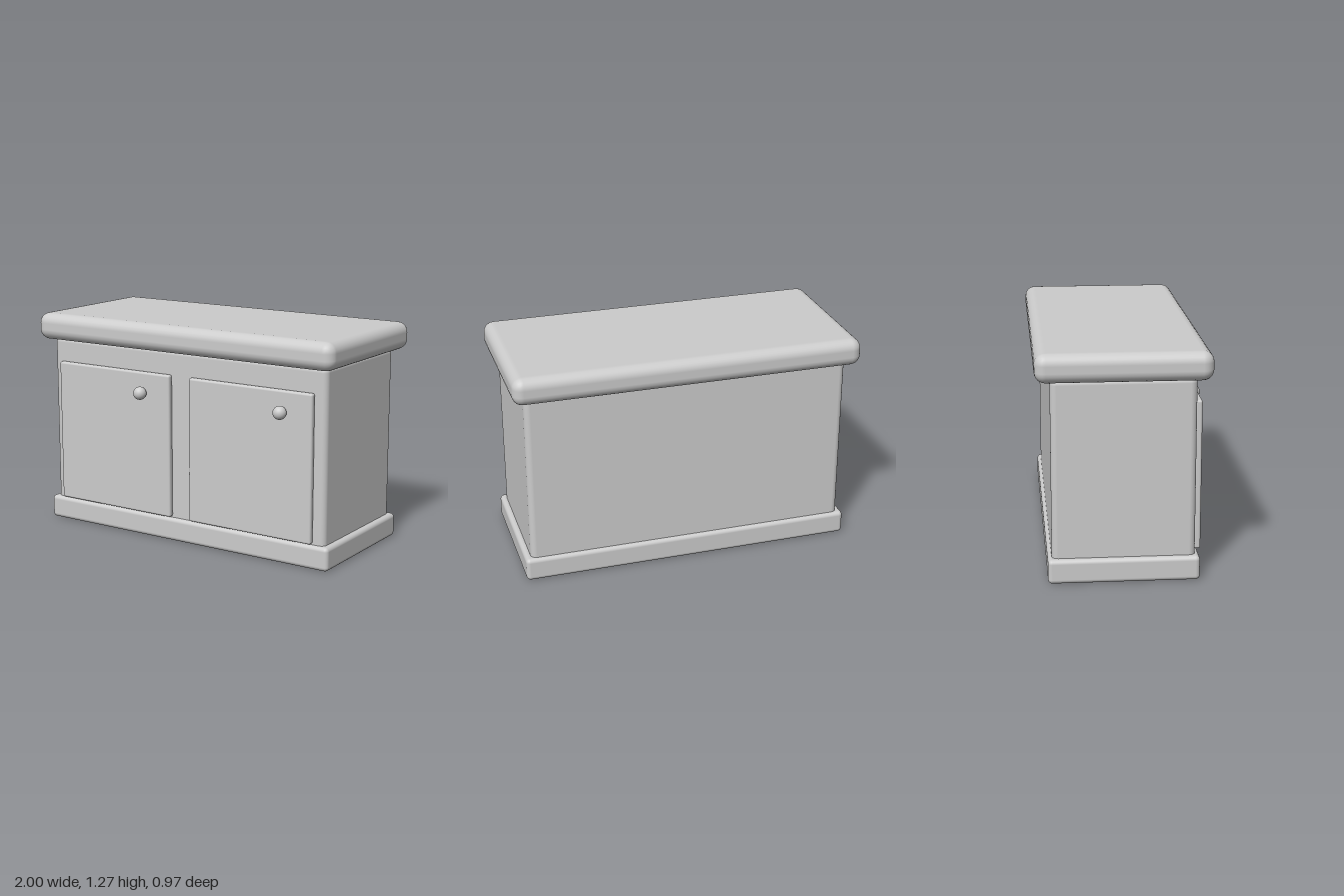
import * as THREE from 'three';
import { RoundedBoxGeometry } from 'three/addons/geometries/RoundedBoxGeometry.js';

export function createModel() {
  const cabinet = new THREE.Group();
  cabinet.name = 'cabinet';
  const grey = new THREE.MeshStandardMaterial({ color: 0xcccccc });
  grey.name = 'light grey';

  function add(name, geometry, x, y, z) {
    const mesh = new THREE.Mesh(geometry, grey);
    mesh.name = name;
    mesh.position.set(x, y, z);
    cabinet.add(mesh);
  }

  // Rounded block given by its extents on each axis
  function block(name, [x0, x1], [y0, y1], [z0, z1], radius) {
    const geometry = new RoundedBoxGeometry(x1 - x0, y1 - y0, z1 - z0, 3, radius);
    add(name, geometry, (x0 + x1) / 2, (y0 + y1) / 2, (z0 + z1) / 2);
  }

  // Plinth, carcass and overhanging worktop
  block('plinth', [-0.965, 0.965], [0, 0.136], [-0.422, 0.398], 0.024);
  block('body', [-0.932, 0.932], [0.06, 1.125], [-0.4, 0.375], 0.035);
  block('worktop', [-1, 1], [1.11, 1.268], [-0.482, 0.455], 0.06);

  // Two doors, each with a round knob near its upper right corner
  const doors = [['rightDoor', -0.467], ['leftDoor', 0.465]];
  for (const [name, x] of doors) {
    block(name, [x - 0.4, x + 0.4], [0.143, 0.98], [0.373, 0.411], 0.013);
    add(name + 'Knob', new THREE.SphereGeometry(0.038, 24, 16), x + 0.221, 0.864, 0.446);
  }

  return cabinet;
}
